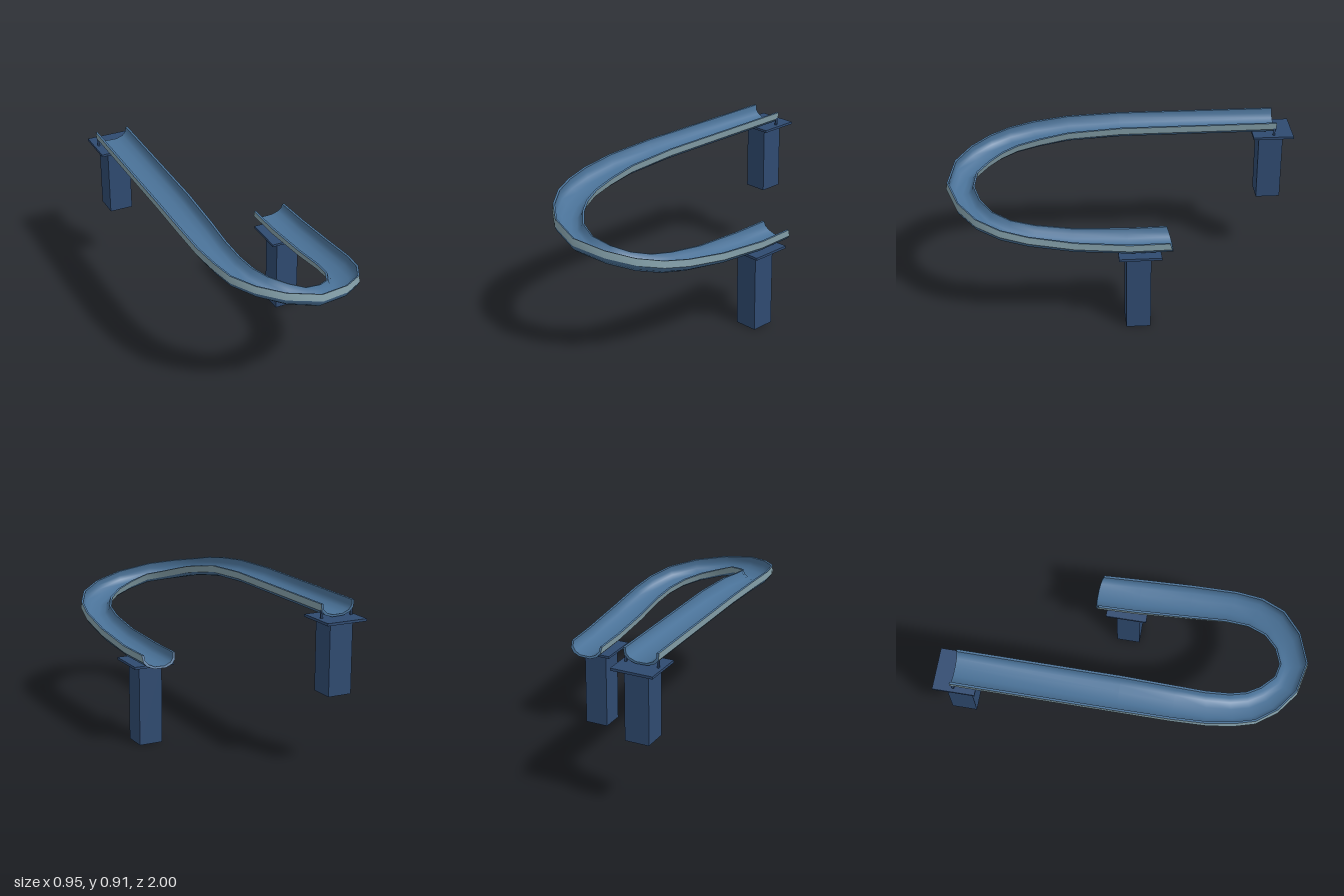
import * as THREE from 'three';

const colour = (name, hex) => {
  const m = new THREE.MeshStandardMaterial({ color: hex });
  m.name = name;
  return m;
};

// Stations along the chute: outer rim x, z, inner rim x, z, outer rim height, inner rim drop
const STATIONS = [
  [-0.46, -0.9, -0.257, -0.9, 0.91, 0.005],
  [-0.46, 0, -0.257, 0, 0.91, 0.008],
  [-0.455, 0.3, -0.257, 0.3, 0.9, 0.018],
  [-0.44, 0.5, -0.25, 0.46, 0.88, 0.028],
  [-0.41, 0.64, -0.232, 0.59, 0.86, 0.035],
  [-0.37, 0.75, -0.2, 0.68, 0.835, 0.037],
  [-0.28, 0.86, -0.15, 0.75, 0.813, 0.04],
  [-0.15, 0.95, -0.07, 0.82, 0.788, 0.04],
  [0.04, 0.99, 0.02, 0.838, 0.75, 0.04],
  [0.22, 0.93, 0.12, 0.805, 0.718, 0.04],
  [0.35, 0.83, 0.2, 0.74, 0.685, 0.038],
  [0.42, 0.7, 0.25, 0.64, 0.652, 0.034],
  [0.45, 0.55, 0.268, 0.51, 0.622, 0.028],
  [0.463, 0.3, 0.267, 0.3, 0.582, 0.018],
  [0.462, 0, 0.257, 0, 0.554, 0.006],
  [0.452, -0.22, 0.252, -0.22, 0.551, 0.004],
];

// Half sections as [fraction of half width, height below rim]
const mirror = half => [
  ...half.map(([u, v]) => [-u, v]),
  ...half.slice().reverse(),
];
const SHELL = mirror([[1, 0], [0.95, -0.04], [0.75, -0.062], [0.35, -0.077]]);
const BED = mirror([[0.87, 0], [0.84, -0.03], [0.66, -0.051], [0.3, -0.066]]);

// Places section points at one station, banked with the rims
function place(section, station, lean) {
  const [ox, oz, ix, iz, oy, drop] = station;
  const outer = new THREE.Vector3(ox, oy, oz);
  const inner = new THREE.Vector3(ix, oy - drop, iz);
  const mid = outer.clone().add(inner).multiplyScalar(0.5);
  const half = outer.clone().sub(mid);
  const side = half.clone().normalize();
  const up = new THREE.Vector3(0, 1, 0).addScaledVector(side, -side.y).normalize();
  return section.map(([u, v]) => {
    const p = mid.clone().addScaledVector(half, u).addScaledVector(up, v);
    p.z += v * lean;
    return p;
  });
}

// Skin over rows of points
function sheet(name, rows, material) {
  const n = rows[0].length;
  const index = [];
  for (let i = 0; i < rows.length - 1; i++) {
    for (let j = 0; j < n - 1; j++) {
      const a = i * n + j, b = a + n;
      index.push(a, b, a + 1, b, b + 1, a + 1);
    }
  }
  const geometry = new THREE.BufferGeometry().setFromPoints(rows.flat());
  geometry.setIndex(index);
  geometry.computeVertexNormals();
  const mesh = new THREE.Mesh(geometry, material);
  mesh.name = name;
  return mesh;
}

function box(name, x0, x1, y0, y1, z0, z1, material) {
  const mesh = new THREE.Mesh(new THREE.BoxGeometry(x1 - x0, y1 - y0, z1 - z0), material);
  mesh.position.set((x0 + x1) / 2, (y0 + y1) / 2, (z0 + z1) / 2);
  mesh.name = name;
  return mesh;
}

export function createModel() {
  const chuteBlue = colour('chute blue', 0x4a7298);
  const wallGrey = colour('side wall grey blue', 0x86a2ac);
  const navy = colour('support navy', 0x2f4a70);
  const model = new THREE.Group();
  model.name = 'curvedSlide';

  // Chute
  const chute = new THREE.Group();
  chute.name = 'chute';
  const last = STATIONS.length - 1;
  const build = section => STATIONS.map((s, i) => place(section, s, i === last ? 0.32 : 0));
  const shell = build(SHELL), bed = build(BED);
  const end = SHELL.length - 1;
  const reversed = rows => rows.map(r => r.slice().reverse());
  const join = (k, flip) => shell.map((r, i) => (flip ? [bed[i][k], r[k]] : [r[k], bed[i][k]]));
  chute.add(
    sheet('underside', shell.map(r => r.slice(1, end)), chuteBlue),
    sheet('innerSideWall', shell.map(r => r.slice(0, 2)), wallGrey),
    sheet('outerSideWall', shell.map(r => r.slice(end - 1)), wallGrey),
    sheet('slidingBed', reversed(bed), chuteBlue),
    sheet('innerRim', join(0, true), chuteBlue),
    sheet('outerRim', join(end, false), chuteBlue),
    sheet('upperEnd', [bed[0], shell[0]], chuteBlue),
    sheet('lowerEnd', [shell[last], bed[last]], chuteBlue),
  );
  model.add(chute);

  // Upper support with two small posts holding the rims
  const upper = new THREE.Group();
  upper.name = 'upperSupport';
  upper.add(
    box('pillar', -0.425, -0.287, 0.41, 0.813, -0.945, -0.805, navy),
    box('platform', -0.475, -0.237, 0.812, 0.826, -1, -0.767, navy),
  );
  for (const x of [-0.45, -0.267]) {
    upper.add(box('rimPost', x - 0.005, x + 0.005, 0.825, 0.88, -0.894, -0.882, navy));
  }
  model.add(upper);

  // Lower support
  const lower = new THREE.Group();
  lower.name = 'lowerSupport';
  lower.add(
    box('pillar', 0.285, 0.423, 0, 0.462, -0.12, 0.017, navy),
    box('platform', 0.235, 0.473, 0.461, 0.475, -0.175, 0.06, navy),
  );
  model.add(lower);

  return model;
}
